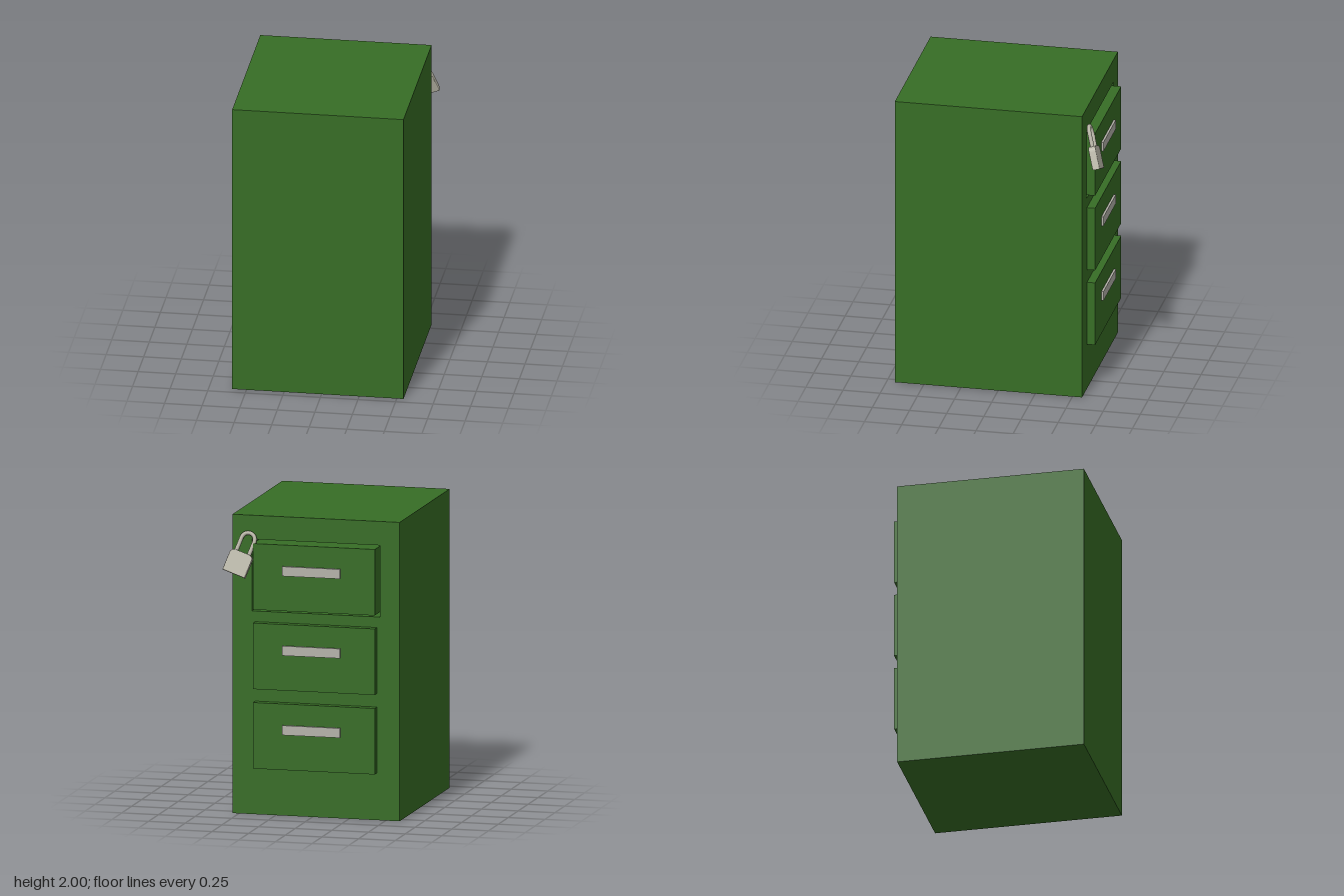
import * as THREE from 'three';

const green = new THREE.MeshStandardMaterial({ color: 0x376d25 });
green.name = 'cabinet green';
const steel = new THREE.MeshStandardMaterial({ color: 0xb5b3aa });
steel.name = 'handle steel';
const lockMetal = new THREE.MeshStandardMaterial({ color: 0xb6b3a4 });
lockMetal.name = 'padlock metal';

const CX = -0.025; // cabinet centre line
const BACK = -0.565, FRONT = 0.695, RECESS = 0.2;

function addMesh(parent, name, geometry, material) {
  const mesh = new THREE.Mesh(geometry, material);
  mesh.name = name;
  parent.add(mesh);
  return mesh;
}

// Box given by its minimum and maximum corners
function addBox(parent, name, material, min, max) {
  const size = max.map((v, i) => v - min[i]);
  const mesh = addMesh(parent, name, new THREE.BoxGeometry(...size), material);
  mesh.position.set(...max.map((v, i) => (v + min[i]) / 2));
  return mesh;
}

// Closed rectangle outline for shapes and holes
function rectangle(path, x0, y0, x1, y1) {
  path.moveTo(x0, y0).lineTo(x1, y0).lineTo(x1, y1).lineTo(x0, y1).closePath();
  return path;
}

function createPadlock() {
  const lock = new THREE.Group();
  lock.name = 'padlock';

  // Body: square foot, rounded shoulders, softened faces
  const w = 0.075, h = 0.145, r = 0.03;
  const outline = new THREE.Shape();
  outline.moveTo(-w, 0).lineTo(w, 0).lineTo(w, h - r);
  outline.quadraticCurveTo(w, h, w - r, h);
  outline.lineTo(r - w, h);
  outline.quadraticCurveTo(-w, h, -w, h - r);
  outline.closePath();
  const body = new THREE.ExtrudeGeometry(outline, {
    depth: 0.034, bevelSize: 0.005, bevelThickness: 0.007, bevelSegments: 3, curveSegments: 6,
  });
  body.translate(0, 0.005, -0.017);
  addMesh(lock, 'padlockBody', body, lockMetal);

  // Shackle: two legs joined by an arch
  const points = [new THREE.Vector3(-0.045, 0.13, 0), new THREE.Vector3(-0.045, 0.2, 0)];
  for (let i = 0; i <= 8; i++) {
    const a = Math.PI * (1 - i / 8);
    points.push(new THREE.Vector3(0.045 * Math.cos(a), 0.245 + 0.045 * Math.sin(a), 0));
  }
  points.push(new THREE.Vector3(0.045, 0.2, 0), new THREE.Vector3(0.045, 0.13, 0));
  const curve = new THREE.CatmullRomCurve3(points);
  addMesh(lock, 'shackle', new THREE.TubeGeometry(curve, 40, 0.014, 10), lockMetal);

  // Hanging pose, leaning out from the panel and to one side
  const up = new THREE.Vector3(-0.098, 0.278, 0.085).normalize();
  const across = new THREE.Vector3(0.154, 0.054, 0).normalize();
  const out = new THREE.Vector3().crossVectors(across, up).normalize();
  across.crossVectors(up, out);
  lock.quaternion.setFromRotationMatrix(new THREE.Matrix4().makeBasis(across, up, out));
  lock.position.set(0.508, 1.62, -0.667);
  return lock;
}

export function createModel() {
  const model = new THREE.Group();
  model.name = 'filingCabinet';

  // Cabinet shell with an opening for the top drawer
  addBox(model, 'cabinetBody', green, [-0.595, 0, BACK + RECESS], [0.545, 2, FRONT]);
  const frame = rectangle(new THREE.Shape(), -0.595, 0, 0.545, 2);
  frame.holes.push(rectangle(new THREE.Path(), CX - 0.437, 1.36, CX + 0.437, 1.84));
  const frameGeometry = new THREE.ExtrudeGeometry(frame, { depth: RECESS, bevelEnabled: false });
  frameGeometry.translate(0, 0, BACK);
  addMesh(model, 'drawerFrame', frameGeometry, green);

  // Three drawers with bar handles
  for (let i = 0; i < 3; i++) {
    const y = 0.315 + i * 0.532;
    const drawer = new THREE.Group();
    drawer.name = ['bottomDrawer', 'middleDrawer', 'topDrawer'][i];
    const inner = i === 2 ? BACK + RECESS : BACK;
    addBox(drawer, 'drawerFront', green, [CX - 0.415, y, -0.62], [CX + 0.415, y + 0.442, inner]);
    addBox(drawer, 'handle', steel, [-0.205, y + 0.236, -0.634], [0.19, y + 0.3, -0.62]);
    model.add(drawer);
  }

  model.add(createPadlock());
  return model;
}
